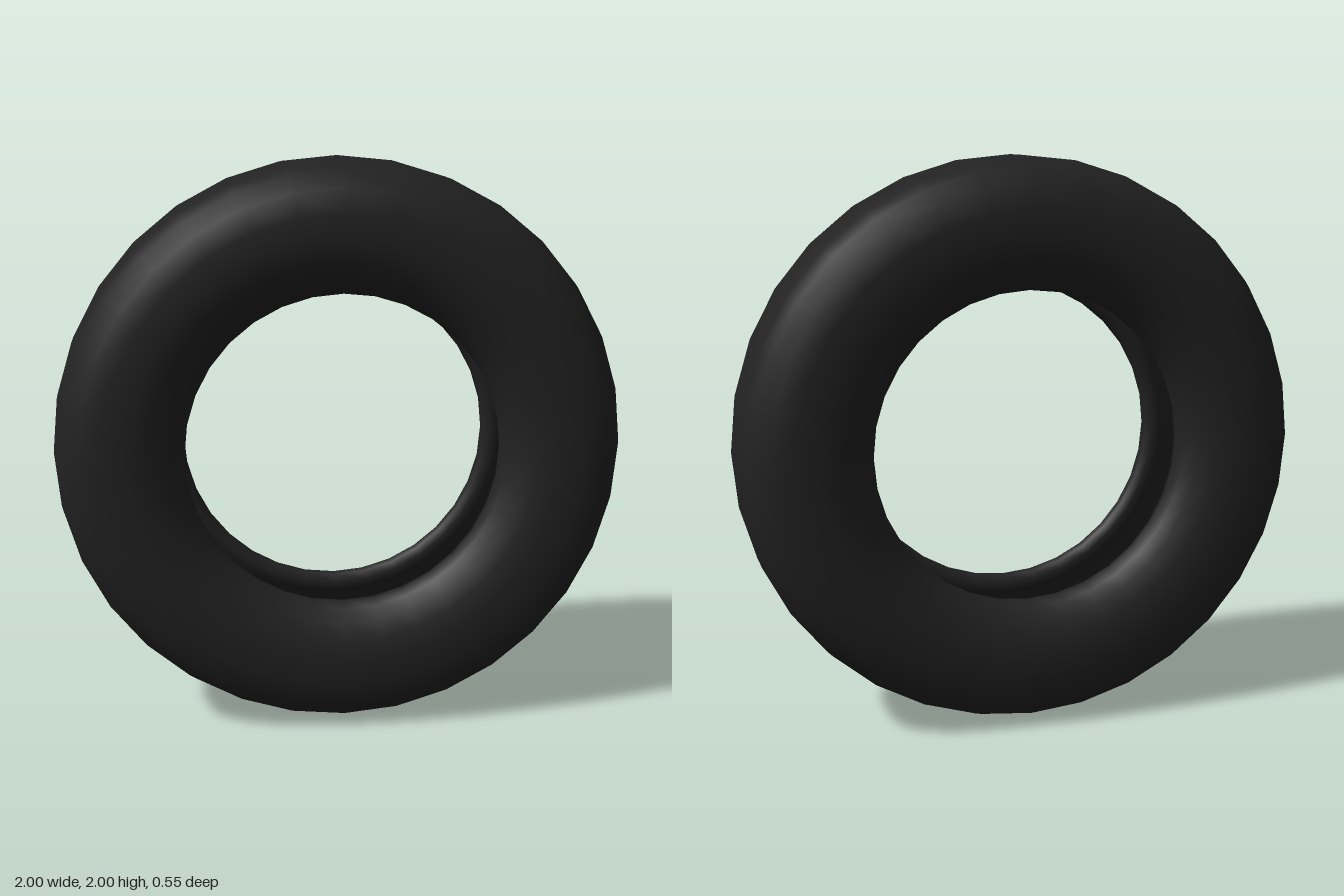
import * as THREE from 'three';

const SEGMENTS = 32;

// Half profiles as [radius, width], listed from the centre plane outward or inward
const outerHalf = [
  [1, 0.065], [0.99, 0.13], [0.965, 0.2], [0.91, 0.25], [0.83, 0.27], [0.74, 0.275],
  [0.67, 0.262], [0.61, 0.235], [0.57, 0.2], [0.55, 0.165],
  [0.555, 0.138], [0.58, 0.124], [0.61, 0.13], [0.635, 0.16], // rounded bead
];
const linerHalf = [
  [0.635, 0.16], [0.7, 0.2], [0.78, 0.215], [0.86, 0.2], [0.91, 0.15], [0.935, 0.06],
];

// Revolve a profile around the z axis
function ring(name, points, material) {
  const geometry = new THREE.LatheGeometry(points.map(([r, w]) => new THREE.Vector2(r, w)), SEGMENTS);
  geometry.rotateX(Math.PI / 2);
  geometry.translate(0, 1, 0);
  const mesh = new THREE.Mesh(geometry, material);
  mesh.name = name;
  return mesh;
}

const mirror = (points) => points.map(([r, w]) => [r, -w]);

export function createModel() {
  const group = new THREE.Group();
  group.name = 'tyre';
  const rubber = new THREE.MeshStandardMaterial({ color: 0x222222 });
  rubber.name = 'black rubber';

  // Tread, sidewalls and beads, from the back bead round to the front bead
  group.add(ring('treadAndSidewalls', [...mirror(outerHalf).reverse(), ...outerHalf], rubber));

  // Hollow inside, facing the axle
  group.add(ring('innerLiner', [...linerHalf, ...mirror(linerHalf).reverse()], rubber));
  return group;
}
